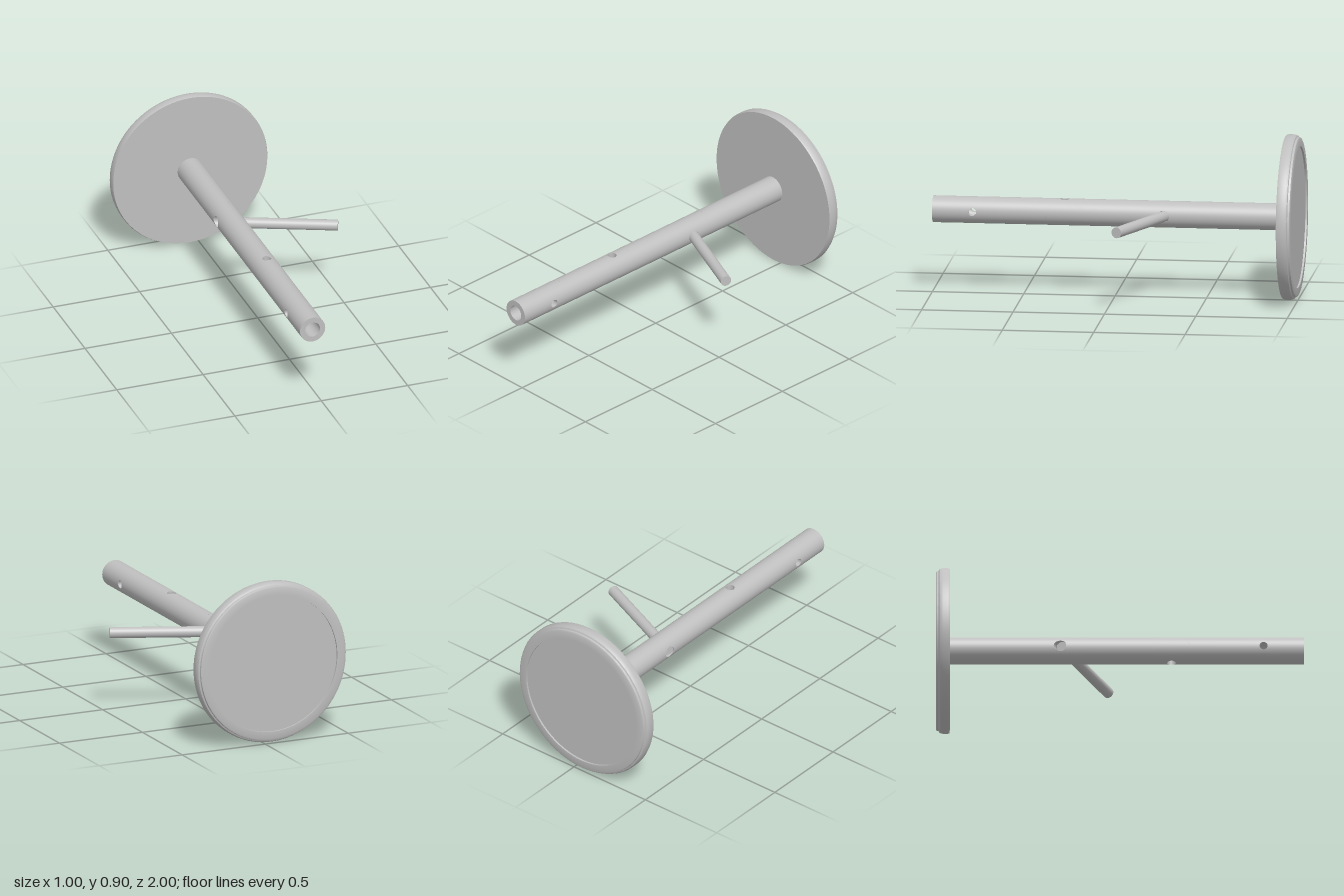
import * as THREE from 'three';
import { ParametricGeometry } from 'three/addons/geometries/ParametricGeometry.js';
import { toCreasedNormals } from 'three/addons/utils/BufferGeometryUtils.js';

const OUTER = 0.073, BORE = 0.043;
const FRONT = 1, BACK = -0.925;
const ROD_R = 0.03, ROD_SLOPE = 0.43;

// Cross holes through the tube: z on the axis, radius, direction angle, slant in z
const HOLES = [
  { z: -0.295, r: ROD_R + 0.001, angle: 0, slope: ROD_SLOPE },
  { z: 0.28, r: 0.024, angle: Math.PI / 2, slope: 0 },
  { z: 0.78, r: 0.022, angle: 0, slope: 0 },
];
const HALF = 0.1; // half length of a tube section that holds a hole

export function createModel() {
  const grey = new THREE.MeshStandardMaterial({ color: 0xbfbfbf, side: THREE.DoubleSide });
  grey.name = 'steelGrey';

  const model = new THREE.Group();
  model.name = 'discWithTube';
  model.position.set(-0.05, 0.453, 0);

  const add = (parent, name, geometry) => {
    const mesh = new THREE.Mesh(geometry, grey);
    mesh.name = name;
    parent.add(mesh);
    return mesh;
  };

  // Base disc with rounded rim and a shallow recess in its back
  const profile = [
    [0, -0.99], [0.385, -0.99], [0.385, -1], [0.425, -1], [0.434, -0.996], [0.436, -0.986],
    [0.444, -0.982], [0.449, -0.972], [0.45, -0.96], [0.45, -0.935], [0.446, BACK], [0, BACK],
  ].map(([r, z]) => new THREE.Vector2(r, z));
  const disc = toCreasedNormals(new THREE.LatheGeometry(profile, 128), 0.6);
  disc.rotateX(Math.PI / 2);
  add(model, 'baseDisc', disc);

  // Hollow tube, made of plain sections and drilled sections
  const tube = new THREE.Group();
  tube.name = 'tube';
  model.add(tube);

  const onTube = (R, theta, z, target) => target.set(R * Math.cos(theta), R * Math.sin(theta), z);

  // Angle and z of the hole's edge on the cylinder of radius R
  const holeEdge = (hole, phi, R, t) => {
    const a = Math.asin(hole.r * Math.cos(t) / R);
    const stretch = Math.sqrt(1 + hole.slope * hole.slope);
    return [phi + a,
      hole.z + hole.r * stretch * Math.sin(t) + hole.slope * R * Math.cos(a) * Math.cos(phi)];
  };

  const plainSection = (z0, z1) => {
    for (const [name, R] of [['tubeOuterWall', OUTER], ['tubeBore', BORE]]) {
      add(tube, name, new ParametricGeometry((u, v, p) =>
        onTube(R, u * Math.PI * 2, z0 + (z1 - z0) * v, p), 96, 1));
    }
  };

  const drilledSection = (hole) => {
    for (const phi of [hole.angle, hole.angle + Math.PI]) {
      // Half cylinder running from the hole's edge to a rectangular border
      for (const [name, R] of [['drilledOuterWall', OUTER], ['drilledBore', BORE]]) {
        add(tube, name, new ParametricGeometry((u, v, p) => {
          const t = u * Math.PI * 2, c = Math.cos(t), s = Math.sin(t);
          const m = Math.max(Math.abs(c), Math.abs(s));
          const [theta, z] = holeEdge(hole, phi, R, t);
          const borderTheta = phi + c / m * Math.PI / 2, borderZ = hole.z + s / m * HALF;
          onTube(R, theta + (borderTheta - theta) * v, z + (borderZ - z) * v, p);
        }, 96, 10));
      }
      // Wall of the hole, between bore and outside
      const a = new THREE.Vector3();
      add(tube, 'holeWall', new ParametricGeometry((u, v, p) => {
        const t = u * Math.PI * 2;
        onTube(BORE, ...holeEdge(hole, phi, BORE, t), a);
        onTube(OUTER, ...holeEdge(hole, phi, OUTER, t), p);
        p.lerp(a, 1 - v);
      }, 96, 1));
    }
  };

  let z = BACK;
  for (const hole of HOLES) {
    plainSection(z, hole.z - HALF);
    drilledSection(hole);
    z = hole.z + HALF;
  }
  plainSection(z, FRONT);

  const rim = add(tube, 'tubeEndRing', new THREE.RingGeometry(BORE, OUTER, 96));
  rim.position.z = FRONT;

  // Slanted side rod, set in its hole
  const start = new THREE.Vector3(-0.052, 0, HOLES[0].z - 0.052 * ROD_SLOPE);
  const end = new THREE.Vector3(0.538, 0, HOLES[0].z + 0.538 * ROD_SLOPE);
  const along = end.clone().sub(start);
  const rod = add(model, 'sideRod', new THREE.CylinderGeometry(ROD_R, ROD_R, along.length(), 48));
  rod.position.copy(start).add(end).multiplyScalar(0.5);
  rod.quaternion.setFromUnitVectors(new THREE.Vector3(0, 1, 0), along.normalize());

  const root = new THREE.Group();
  root.name = 'model';
  root.add(model);
  return root;
}
